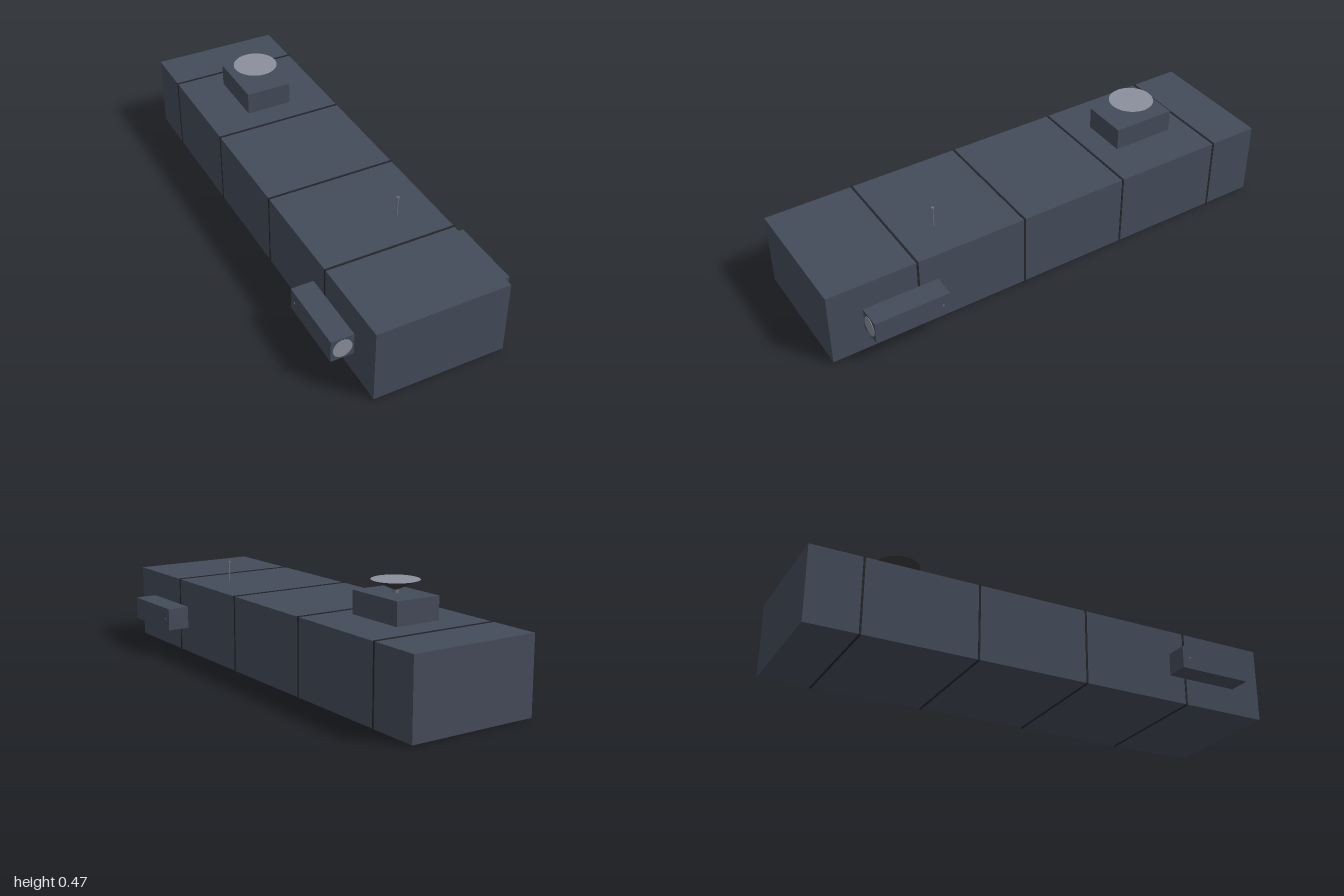
import * as THREE from 'three';

const mat = (color) => new THREE.MeshStandardMaterial({ color });

export function createModel() {
  const group = new THREE.Group();
  const hull = mat(0x454c5a), seam = mat(0x24262c), metal = mat(0x6e7480), dark = mat(0x3c3c40), glass = mat(0x8a909c);

  const add = (name, geometry, material, x, y, z, parent = group) => {
    const mesh = new THREE.Mesh(geometry, material);
    mesh.name = name;
    mesh.position.set(x, y, z);
    parent.add(mesh);
    return mesh;
  };
  const box = (w, h, d) => new THREE.BoxGeometry(w, h, d);
  const cyl = (rTop, rBottom, h, n = 32, open = false) => new THREE.CylinderGeometry(rTop, rBottom, h, n, 1, open);

  // Long hull with raised seam bands between its sections
  add('hull', box(0.55, 0.314, 2), hull, 0, 0.16, 0);
  for (let i = 0; i < 4; i++) add('seamBand', box(0.554, 0.32, 0.008), seam, 0, 0.16, 0.628 - i * 0.471);

  // Side pods, each with a strut, a front lens and a small outer stud
  for (const side of [1, -1]) {
    const pod = new THREE.Group();
    pod.name = side > 0 ? 'leftPod' : 'rightPod';
    pod.position.set(side * 0.329, 0.16, 0.707);
    group.add(pod);
    add('podHousing', box(0.094, 0.094, 0.314), hull, 0, 0, 0, pod);
    add('podStrut', box(0.02, 0.022, 0.19), metal, -side * 0.051, 0, 0, pod);
    add('podLens', cyl(0.039, 0.039, 0.004), glass, 0, 0, 0.157, pod).rotation.x = Math.PI / 2;
    add('podStud', cyl(0.004, 0.004, 0.004, 12), metal, side * 0.047, 0, -0.126, pod).rotation.z = Math.PI / 2;
  }

  // Roof unit carrying a dish on a short stem
  add('roofHousing', box(0.196, 0.094, 0.27), hull, 0, 0.372, -0.55);
  add('dishStem', cyl(0.012, 0.012, 0.02, 16), metal, 0, 0.426, -0.55);
  add('dishCone', cyl(0.093, 0.01, 0.038, 32, true), dark, 0, 0.451, -0.55);
  add('dishFace', new THREE.CircleGeometry(0.093, 32), glass, 0, 0.47, -0.55).rotation.x = -Math.PI / 2;

  // Thin antenna with a wider tip
  add('antennaMast', cyl(0.003, 0.003, 0.084, 12), metal, 0.117, 0.356, 0.471);
  add('antennaTip', cyl(0.006, 0.006, 0.008, 12), metal, 0.117, 0.401, 0.471);

  return group;
}
